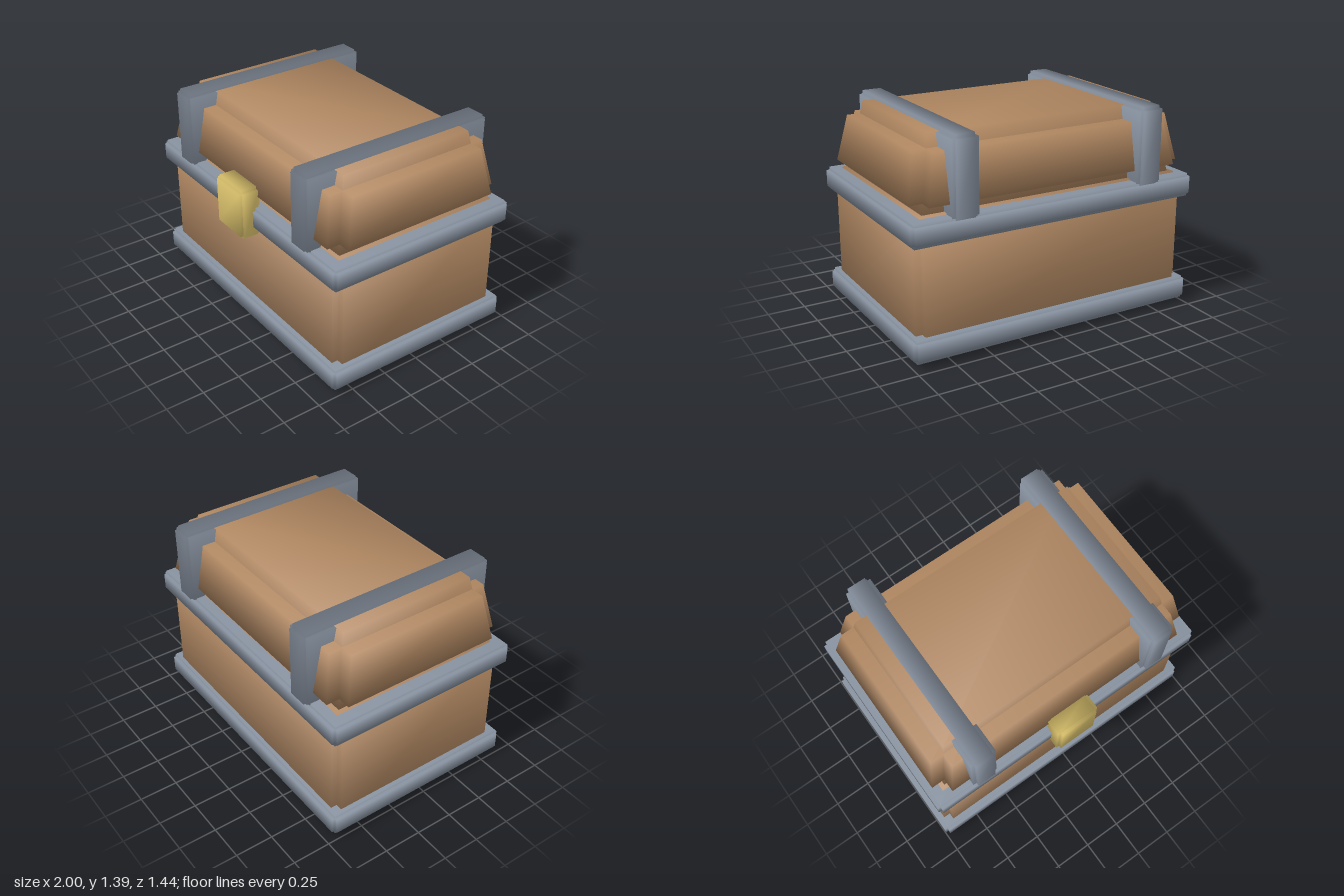
import * as THREE from 'three';
import { mergeVertices, mergeGeometries } from 'three/addons/utils/BufferGeometryUtils.js';

const material = (name, color) => {
  const m = new THREE.MeshStandardMaterial({ color });
  m.name = name;
  return m;
};

// Box from y0 to y1 whose half width and half depth may shrink towards the top;
// shared corners give it soft, pillowy shading.
function slab(y0, y1, [bx, bz], [tx, tz] = [bx, bz]) {
  const box = new THREE.BoxGeometry(2, 2, 2);
  box.deleteAttribute('normal');
  box.deleteAttribute('uv');
  const g = mergeVertices(box);
  const p = g.attributes.position;
  for (let i = 0; i < p.count; i++) {
    const top = p.getY(i) > 0;
    p.setXYZ(i, p.getX(i) * (top ? tx : bx), top ? y1 : y0, p.getZ(i) * (top ? tz : bz));
  }
  g.computeVertexNormals();
  return g;
}

// Block with stepped edges: three crossing slabs, each reaching out along one axis.
function steppedBlock(y0, y1, hx, hz, [sx, sy, sz]) {
  return mergeGeometries([
    slab(y0 + sy, y1 - sy, [hx, hz - sz]),
    slab(y0, y1, [hx - sx, hz - sz]),
    slab(y0 + sy, y1 - sy, [hx - sx, hz]),
  ]);
}

// Tapered lid with the same stepped edges.
function lidGeometry() {
  const y0 = 0.91, y1 = 1.37, low = 0.98, high = 1.285;
  const core = (y) => {
    const t = (y - y0) / (y1 - y0);
    return [0.885 - 0.09 * t, 0.56 - 0.09 * t];
  };
  const [lx, lz] = core(low), [hx, hz] = core(high);
  return mergeGeometries([
    slab(y0, y1, core(y0), core(y1)),
    slab(low, high, [0.96, lz], [0.9, hz]),
    slab(low, high, [lx, 0.635], [hx, 0.575]),
  ]);
}

export function createModel() {
  const chest = new THREE.Group();
  chest.name = 'chest';
  const wood = material('wood', 0xb08761);
  const iron = material('iron', 0x87919f);
  const gold = material('gold', 0xdac16c);

  const add = (name, geometry, mat, x, z) => {
    const mesh = new THREE.Mesh(geometry, mat);
    mesh.name = name;
    mesh.position.set(x, 0, z);
    chest.add(mesh);
  };

  // Wooden box and lid
  add('body', steppedBlock(0, 0.915, 0.957, 0.63, [0.045, 0.045, 0.043]), wood, 0, -0.038);
  add('lid', lidGeometry(), wood, 0, -0.035);

  // Iron bands around the foot and the rim
  const bandStep = [0.021, 0.022, 0.021];
  add('lowerBand', steppedBlock(0.035, 0.187, 1, 0.674, bandStep), iron, 0, -0.035);
  add('upperBand', steppedBlock(0.755, 0.907, 1, 0.674, bandStep), iron, 0, -0.035);

  // Iron straps over the lid
  for (const side of [-1, 1]) {
    add(side > 0 ? 'leftStrap' : 'rightStrap',
      steppedBlock(0.875, 1.393, 0.087, 0.685, [0.024, 0.025, 0.023]), iron, side * 0.652, -0.035);
  }

  // Gold lock plate
  add('lock', steppedBlock(0.7, 1.043, 0.15, 0.073, [0.021, 0.021, 0.021]), gold, 0, 0.647);
  return chest;
}
